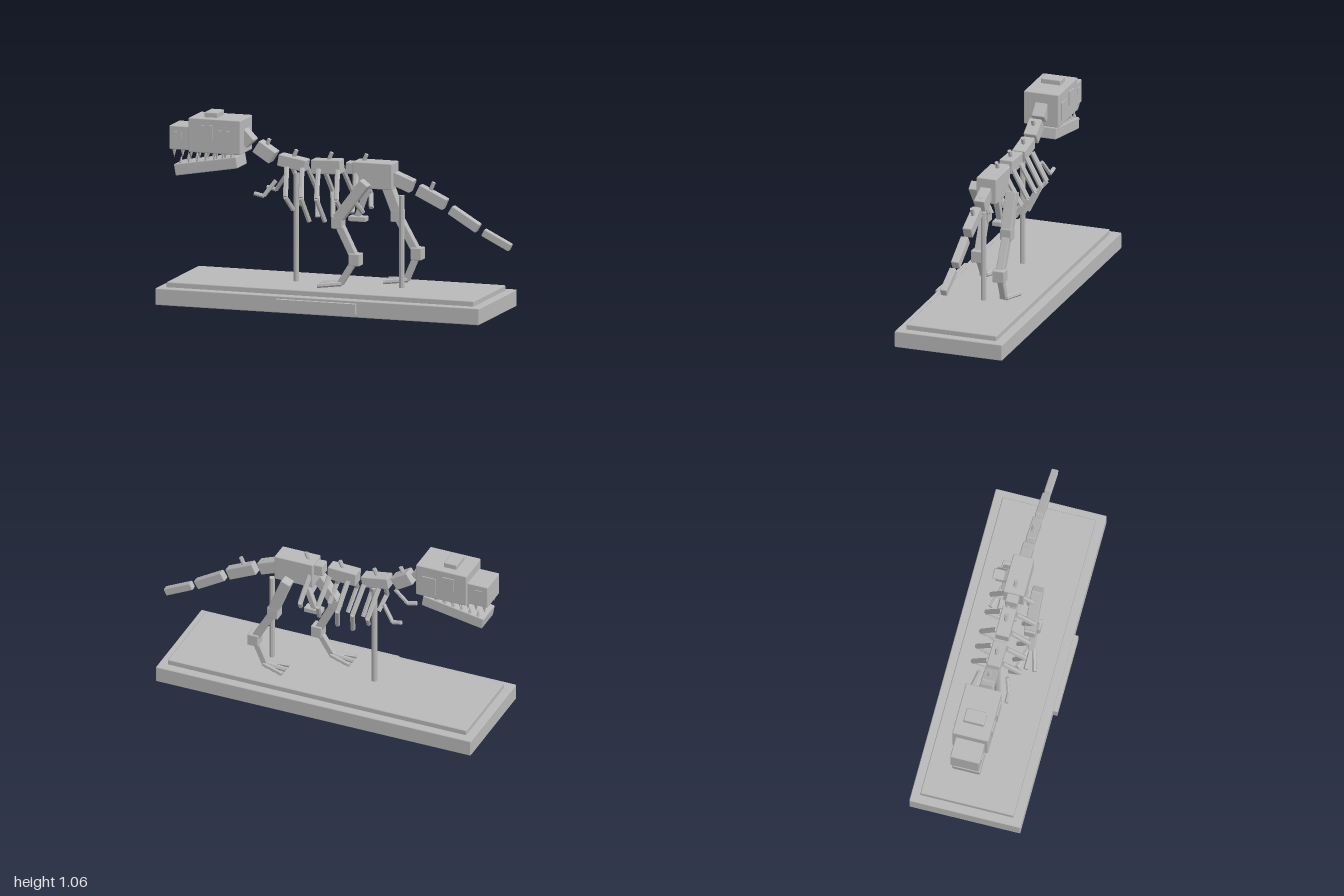
import * as THREE from 'three';
import { RoundedBoxGeometry } from 'three/addons/geometries/RoundedBoxGeometry.js';

const bone = new THREE.MeshStandardMaterial({ color: 0xb8b8b8 });
bone.name = 'bone grey';

const V = (x, y, z) => new THREE.Vector3(x, y, z);
const UP = V(0, 1, 0);

export function createModel() {
  const root = new THREE.Group();
  root.name = 'dinosaurSkeletonOnStand';
  // The skeleton and its plinth share one middle plane
  const body = new THREE.Group();
  body.name = 'skeletonAndPlinth';
  body.position.z = -0.0115;
  root.add(body);

  const add = (name, geo, parent = body) => {
    const m = new THREE.Mesh(geo, bone);
    m.name = name;
    parent.add(m);
    return m;
  };

  // Softly bevelled block, turned by angle in the side plane
  const block = (name, x, y, z, w, h, d, angle = 0) => {
    const r = Math.min(0.006, w * 0.2, h * 0.2, d * 0.2);
    const m = add(name, new RoundedBoxGeometry(w, h, d, 1, r));
    m.position.set(x, y, z);
    m.rotation.z = angle;
    return m;
  };

  // Square limb bone between two points in a side plane
  const limb = (name, a, b, z, thick, depth) => {
    const dx = b[0] - a[0], dy = b[1] - a[1];
    return block(name, (a[0] + b[0]) / 2, (a[1] + b[1]) / 2, z,
      Math.hypot(dx, dy), thick, depth, Math.atan2(dy, dx));
  };

  // Faceted rod between two points
  const rod = (name, a, b, r, sides = 6) => {
    const dir = b.clone().sub(a);
    const geo = new THREE.CylinderGeometry(r, r, dir.length(), sides).toNonIndexed();
    geo.computeVertexNormals();
    const m = add(name, geo);
    m.position.copy(a).add(b).multiplyScalar(0.5);
    m.quaternion.setFromUnitVectors(UP, dir.normalize());
    return m;
  };

  const tooth = (name, x, y, z, h, down) => {
    const geo = new THREE.ConeGeometry(0.014, h, 5).toNonIndexed();
    geo.computeVertexNormals();
    const m = add(name, geo);
    m.position.set(x, y, z);
    if (down) m.rotation.x = Math.PI;
  };

  // Plinth, step and blank front plate
  block('plinth', -0.047, 0.0475, 0, 1.906, 0.095, 0.637);
  block('plinthStep', -0.047, 0.107, 0, 1.808, 0.036, 0.534);
  const plate = add('frontPlate', new THREE.BoxGeometry(0.466, 0.06, 0.03));
  plate.position.set(-0.048, 0.05, 0.329);

  // Support posts
  rod('frontPost', V(-0.28, 0.12, 0), V(-0.28, 0.735, 0), 0.0165, 8);
  rod('rearPost', V(0.34, 0.12, 0), V(0.34, 0.645, 0), 0.0165, 8);

  // Skull
  block('cranium', -0.727, 0.93, 0, 0.306, 0.194, 0.206);
  block('snout', -0.935, 0.906, 0, 0.13, 0.134, 0.167);
  block('crest', -0.763, 1.036, 0, 0.078, 0.04, 0.118);
  block('lowerJaw', -0.786, 0.754, 0, 0.372, 0.066, 0.16, 0.17);
  for (const s of [1, -1]) {
    // Thin plates for the skull openings
    const plates = [['eyePlate', -0.77, 0.95, 0.105, 0.07, 0.08],
      ['cheekPlate', -0.655, 0.915, 0.105, 0.085, 0.1],
      ['nostrilPlate', -0.945, 0.925, 0.0845, 0.04, 0.035]];
    for (const [name, x, y, z, w, h] of plates) {
      add(name, new THREE.BoxGeometry(w, h, 0.008)).position.set(x, y, s * z);
    }
    for (let i = 0; i < 7; i++) {
      const x = -0.975 + i * 0.05;
      tooth('upperTooth', x, 0.818, s * 0.068, 0.05, true);
      const jx = -0.935 + i * 0.05;
      tooth('lowerTooth', jx, 0.806 + (jx + 0.786) * 0.17, s * 0.063, 0.046, false);
    }
  }

  // Spine and tail: name, x, y, length, height, depth, angle
  const spine = [
    ['upperNeck', -0.572, 0.92, 0.095, 0.066, 0.075, -0.8],
    ['lowerNeck', -0.459, 0.845, 0.116, 0.077, 0.077, -0.56],
    ['chestSpine', -0.297, 0.794, 0.163, 0.067, 0.078, -0.17],
    ['backSpine', -0.096, 0.784, 0.172, 0.08, 0.078, 0.04],
    ['loinSpine', 0.06, 0.785, 0.08, 0.066, 0.07, -0.05],
    ['pelvis', 0.186, 0.755, 0.232, 0.148, 0.118, 0],
    ['tailBase', 0.35, 0.722, 0.122, 0.075, 0.064, -0.37],
    ['tailMiddle', 0.519, 0.647, 0.178, 0.068, 0.054, -0.44],
    ['tailRear', 0.711, 0.535, 0.19, 0.055, 0.047, -0.54],
    ['tailTip', 0.901, 0.428, 0.178, 0.044, 0.04, -0.46],
  ];
  for (const [name, x, y, w, h, d, a] of spine) block(name, x, y, 0, w, h, d, a);

  // Small spines along the back
  const nubs = [[-0.45, 0.892], [-0.29, 0.84], [-0.083, 0.838],
    [0.122, 0.84], [0.375, 0.725], [0.517, 0.705]];
  for (const [x, y] of nubs) rod('backNub', V(x - 0.012, y - 0.03, 0), V(x + 0.012, y + 0.025, 0), 0.012);

  // Ribs: top x, bend x, end x, end y
  const ribs = [[-0.323, -0.297, -0.275, 0.54], [-0.233, -0.206, -0.18, 0.48],
    [-0.136, -0.115, -0.088, 0.485], [-0.024, 0.003, 0.024, 0.515], [0.088, 0.11, 0.136, 0.55]];
  for (const s of [1, -1]) {
    for (const [x0, x1, x2, y2] of ribs) {
      const bend = V(x1, 0.62, s * 0.136);
      rod('upperRib', V(x0, 0.77, s * 0.04), bend, 0.015);
      rod('lowerRib', bend, V(x2, y2, s * 0.07), 0.014);
    }
    // Small arms
    const elbow = V(-0.435, 0.613, s * 0.105);
    rod('upperArm', V(-0.372, 0.7, s * 0.08), elbow, 0.012);
    rod('forearm', elbow, V(-0.49, 0.625, s * 0.107), 0.012);
  }

  // Pubic bone below the pelvis
  limb('pubis', [0.15, 0.7], [0.08, 0.51], 0, 0.032, 0.035);
  block('pubisFoot', 0.085, 0.5, 0, 0.105, 0.03, 0.055);

  // Legs, the left one striding forward
  const leg = (side, z, hip, knee, ankle, foot) => {
    limb(side + 'Thigh', hip, [knee[0], knee[1] + 0.02], z, 0.06, 0.064);
    block(side + 'Knee', ...knee, z, 0.065, 0.07, 0.066);
    limb(side + 'Shin', knee, ankle, z, 0.045, 0.048);
    block(side + 'Ankle', ...ankle, z, 0.065, 0.07, 0.07);
    limb(side + 'Metatarsal', ankle, foot, z, 0.036, 0.036);
    for (const t of [-1, 0, 1]) {
      rod(side + 'Toe', V(foot[0] + 0.01, foot[1] + 0.002, z + t * 0.014),
        V(foot[0] - 0.12, foot[1] - 0.01, z + t * 0.05), 0.0135);
    }
  };
  leg('left', 0.116, [0.168, 0.727], [0.008, 0.495], [0.11, 0.291], [0.02, 0.148]);
  leg('right', -0.116, [0.195, 0.73], [0.275, 0.51], [0.393, 0.302], [0.327, 0.148]);

  return root;
}
